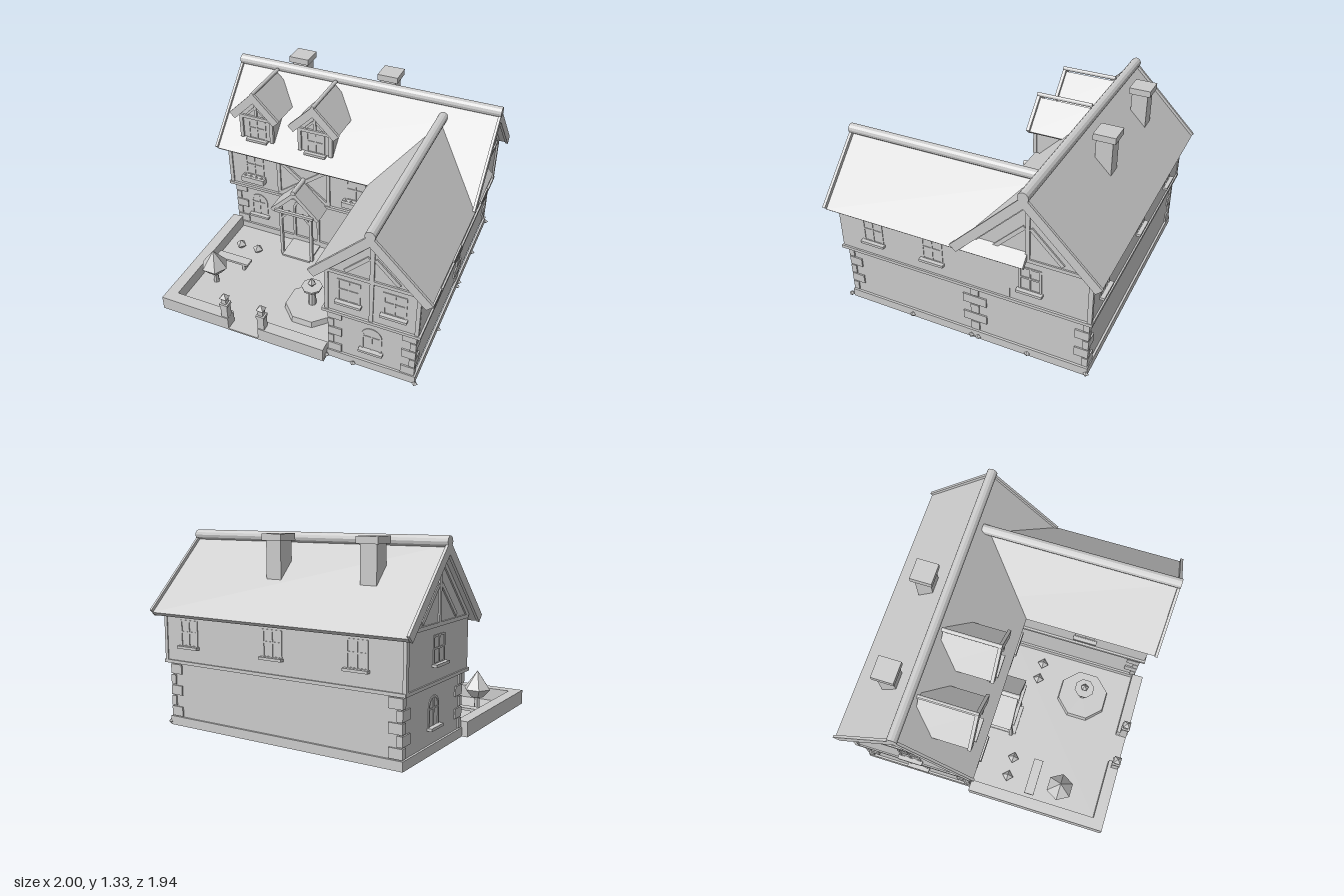
import * as THREE from 'three';

const stone = new THREE.MeshStandardMaterial({ color: 0xcccccc, flatShading: true });
stone.name = 'pale grey';

function add(parent, name, geo, x = 0, y = 0, z = 0) {
  const m = new THREE.Mesh(geo, stone);
  m.name = name;
  m.position.set(x, y, z);
  parent.add(m);
  return m;
}
function group(parent, name, x = 0, y = 0, z = 0, ry = 0) {
  const g = new THREE.Group();
  g.name = name;
  g.position.set(x, y, z);
  g.rotation.y = ry;
  parent.add(g);
  return g;
}
const box = (p, name, w, h, d, x, y, z) => add(p, name, new THREE.BoxGeometry(w, h, d), x, y, z);
// box given by its limits
const block = (p, name, x0, x1, y0, y1, z0, z1) =>
  box(p, name, x1 - x0, y1 - y0, z1 - z0, (x0 + x1) / 2, (y0 + y1) / 2, (z0 + z1) / 2);
const prism = (p, name, pts, z0, z1) => add(p, name, new THREE.ExtrudeGeometry(
  new THREE.Shape(pts.map(q => new THREE.Vector2(...q))), { depth: z1 - z0, bevelEnabled: false }), 0, 0, z0);
const cyl = (p, name, r0, r1, h, n, x, y, z) => add(p, name, new THREE.CylinderGeometry(r0, r1, h, n), x, y, z);

// hollow foot around a ground floor
function plinth(p, name, x0, x1, z0, z1, h = 0.062, t = 0.016) {
  for (const x of [x0, x1 - t]) block(p, name, x, x + t, 0, h, z0, z1);
  for (const z of [z0, z1 - t]) block(p, name, x0 + t, x1 - t, 0, h, z, z + t);
}
// timber between two points on a wall facing +z
function beam(p, name, x1, y1, x2, y2, w, z, d = 0.014) {
  const m = box(p, name, Math.hypot(x2 - x1, y2 - y1), w, d, (x1 + x2) / 2, (y1 + y2) / 2, z);
  m.rotation.z = Math.atan2(y2 - y1, x2 - x1);
}
// 45 degree roof shell with square-cut eaves
function chevron(p, name, h, top, t, z0, z1) {
  const k = t / Math.SQRT2;
  prism(p, name, [[-h, top - h], [-h + k, top - h - k], [0, top - 2 * k], [h - k, top - h - k], [h, top - h], [0, top]], z0, z1);
}
const house5 = (p, name, h, y0, eave, z0, z1) =>
  prism(p, name, [[-h, y0], [h, y0], [h, eave], [0, eave + h], [-h, eave]], z0, z1);
function ridge(p, r, y, z0, z1) {
  cyl(p, 'ridgePole', r, r, z1 - z0, 12, 0, y, (z0 + z1) / 2).rotation.x = Math.PI / 2;
}
// timbered triangle under a roof
function gableTimbers(p, h, eave, z) {
  beam(p, 'tieBeam', -h, eave, h, eave, 0.025, z);
  beam(p, 'kingPost', 0, eave, 0, eave + h - 0.02, 0.028, z);
  for (const s of [-1, 1]) {
    beam(p, 'gableBrace', s * h * 0.56, eave + 0.03, s * 0.02, eave + 0.01 + h * 0.56, 0.026, z);
    beam(p, 'gableRafter', s * h, eave, 0, eave + h, 0.03, z);
  }
}
// shallow square window, base at local y = 0, facing +z
function squareWindow(p, x, y, z, ry, w = 0.14, h = 0.17) {
  const g = group(p, 'window', x, y, z, ry);
  for (const s of [-1, 0, 1]) box(g, 'windowUpright', s ? 0.014 : 0.01, h, 0.012, s * w / 2, h / 2, -0.001);
  for (const t of [0, 0.55, 1]) box(g, 'windowBar', w + 0.014, 0.012, 0.012, 0, t * h, -0.001);
  box(g, 'windowSill', w + 0.035, 0.018, 0.045, 0, -0.007, 0.01);
}
function archShape(w, h, Type) {
  const a = new Type();
  a.moveTo(-w / 2, 0);
  a.lineTo(w / 2, 0);
  a.lineTo(w / 2, h - w / 2);
  a.absarc(0, h - w / 2, w / 2, 0, Math.PI, false);
  a.closePath();
  return a;
}
function archFrame(p, name, w, h, t, d) {
  const s = archShape(w, h, THREE.Shape);
  s.holes.push(archShape(w - 2 * t, h - t, THREE.Path));
  add(p, name, new THREE.ExtrudeGeometry(s, { depth: d, bevelEnabled: false, curveSegments: 8 }));
}
function archWindow(p, x, y, z, ry) {
  const g = group(p, 'archedWindow', x, y, z, ry);
  archFrame(g, 'archFrame', 0.14, 0.2, 0.014, 0.005);
  box(g, 'mullion', 0.01, 0.19, 0.01, 0, 0.095, -0.001);
  box(g, 'glazingBar', 0.13, 0.01, 0.01, 0, 0.12, -0.001);
  box(g, 'windowSill', 0.165, 0.018, 0.045, 0, 0, 0.01);
}
// alternating corner stones; sx, sz point outwards
function quoins(p, cx, cz, sx, sz) {
  for (let i = 0; i < 5; i++) {
    const lx = i % 2 ? 0.04 : 0.095, lz = i % 2 ? 0.095 : 0.04, o = 0.01;
    box(p, 'cornerStone', lx, 0.066, lz, cx + sx * (o - lx / 2), 0.1 + i * 0.074, cz + sz * (o - lz / 2));
  }
}

function mainHouse(root) {
  block(root, 'mainGroundFloor', -0.905, 0.885, 0.055, 0.45, -0.87, -0.085);
  plinth(root, 'mainPlinth', -0.92, 0.905, -0.885, -0.07);
  block(root, 'mainBelt', -0.945, 0.925, 0.442, 0.464, -0.905, -0.035);
  // local x runs to -z, local z runs to +x
  const g = group(root, 'mainHouse', 0, 0, -0.474, Math.PI / 2);
  house5(g, 'mainUpperFloor', 0.42, 0.45, 0.8, -0.935, 0.91);
  chevron(g, 'mainRoof', 0.488, 1.277, 0.03, -0.985, 0.97);
  chevron(g, 'bargeBoard', 0.499, 1.305, 0.06, -1, -0.982);
  chevron(g, 'bargeBoard', 0.499, 1.305, 0.06, 0.965, 0.983);
  ridge(g, 0.036, 1.297, -1, 0.985);
  gableTimbers(g, 0.41, 0.805, 0.913);
  gableTimbers(g, 0.41, 0.805, -0.938);
  for (const cx of [-0.905, 0.885]) for (const cz of [-0.87, -0.085]) quoins(root, cx, cz, Math.sign(cx), cz < -0.5 ? -1 : 1);
  // second half of the stones where wing and main house meet
  quoins(root, 0.885, -0.085, 1, -1);
  for (const cx of [-0.935, 0.91]) block(root, 'cornerPost', cx - 0.012, cx + 0.012, 0.45, 0.8, -0.9, -0.87);

  // front timbers
  for (const x of [-0.92, -0.515, -0.115, 0.265]) beam(root, 'frontPost', x, 0.46, x, 0.79, 0.028, -0.05);
  beam(root, 'frontRail', -0.93, 0.78, 0.28, 0.78, 0.024, -0.05);
  beam(root, 'crossBrace', -0.51, 0.77, -0.12, 0.47, 0.028, -0.048);
  beam(root, 'crossBrace', -0.12, 0.77, -0.51, 0.47, 0.028, -0.048);

  // windows
  for (const x of [-0.72, 0.1]) {
    squareWindow(root, x, 0.57, -0.054, 0);
    archWindow(root, x, 0.165, -0.085, 0);
    box(root, 'flowerBox', 0.185, 0.045, 0.05, x, 0.548, -0.024);
    for (let i = -1.5; i < 2; i++) add(root, 'flower', new THREE.OctahedronGeometry(0.012), x + i * 0.045, 0.573, -0.024);
  }
  for (const x of [0.7, 0, -0.62]) squareWindow(root, x, 0.57, -0.894, Math.PI);
  squareWindow(root, -0.935, 0.57, -0.47, -Math.PI / 2);
  archWindow(root, -0.905, 0.165, -0.47, -Math.PI / 2);

  // chimneys
  for (const x of [-0.585, 0.12]) {
    box(root, 'chimney', 0.115, 0.35, 0.115, x, 1.125, -0.657);
    box(root, 'chimneyCap', 0.153, 0.045, 0.153, x, 1.305, -0.66);
  }
}

function dormer(root, x) {
  const g = group(root, 'dormer', x);
  house5(g, 'dormerBody', 0.125, 0.9, 1.1, -0.42, -0.065);
  chevron(g, 'dormerRoof', 0.18, 1.27, 0.025, -0.42, -0.04);
  chevron(g, 'dormerBarge', 0.195, 1.3, 0.058, -0.045, -0.022);
  ridge(g, 0.014, 1.292, -0.425, -0.02);
  for (const s of [-1, 1]) {
    block(g, 'dormerPost', s * 0.12 - 0.013, s * 0.12 + 0.013, 0.9, 1.09, -0.075, -0.05);
    beam(g, 'dormerBrace', s * 0.07, 1.1, s * 0.01, 1.16, 0.016, -0.062);
  }
  beam(g, 'dormerTie', -0.13, 1.08, 0.13, 1.08, 0.025, -0.06, 0.02);
  beam(g, 'dormerKingPost', 0, 1.09, 0, 1.24, 0.02, -0.06);
  squareWindow(g, 0, 0.9, -0.065, 0, 0.13, 0.16);
}

function wing(root) {
  block(root, 'wingGroundFloor', 0.305, 0.885, 0.055, 0.45, -0.1, 0.88);
  plinth(root, 'wingPlinth', 0.29, 0.905, -0.086, 0.895);
  block(root, 'wingBelt', 0.265, 0.925, 0.442, 0.464, -0.1, 0.92);
  const g = group(root, 'wing', 0.597);
  house5(g, 'wingUpperFloor', 0.315, 0.45, 0.81, -0.35, 0.905);
  chevron(g, 'wingRoof', 0.386, 1.174, 0.03, -0.47, 0.955);
  chevron(g, 'wingBarge', 0.4, 1.207, 0.06, 0.95, 0.97);
  ridge(g, 0.034, 1.2, -0.42, 0.97);
  gableTimbers(g, 0.31, 0.8, 0.909);
  for (const x of [-0.3, 0, 0.3]) beam(g, 'wingPost', x, 0.46, x, 0.8, 0.026, 0.906);
  for (const x of [-0.15, 0.15]) squareWindow(g, x, 0.57, 0.905, 0);
  archWindow(g, 0, 0.165, 0.88, 0);
  quoins(root, 0.305, 0.88, -1, 1);
  quoins(root, 0.885, 0.88, 1, 1);
  for (const z of [0.65, 0.2, -0.49]) squareWindow(root, 0.911, 0.57, z, Math.PI / 2);
  squareWindow(root, 0.282, 0.57, 0.45, -Math.PI / 2);
}

function porch(root) {
  const g = group(root, 'porch', -0.315);
  chevron(g, 'porchRoof', 0.197, 0.637, 0.03, -0.06, 0.12);
  ridge(g, 0.018, 0.64, -0.06, 0.13);
  beam(g, 'porchTie', -0.155, 0.445, 0.155, 0.445, 0.022, 0.125, 0.022);
  for (const s of [-1, 1]) {
    block(g, 'porchPost', s * 0.122 - 0.011, s * 0.122 + 0.011, 0, 0.46, 0.085, 0.11);
    beam(g, 'porchBrace', s * 0.12, 0.36, s * 0.05, 0.44, 0.018, 0.098);
  }
  block(g, 'doorStep', -0.115, 0.115, 0, 0.025, -0.08, 0.13);
  const d = group(g, 'door', 0, 0.02, -0.085);
  archFrame(d, 'doorFrame', 0.22, 0.41, 0.02, 0.015);
}

function courtyard(root) {
  block(root, 'courtyardFloor', -0.96, 0.29, 0, 0.012, -0.07, 0.957);
  block(root, 'leftWall', -0.96, -0.88, 0, 0.105, -0.07, 0.957);
  block(root, 'frontWall', -0.88, -0.43, 0, 0.105, 0.875, 0.957);
  block(root, 'frontWall', -0.2, 0.285, 0, 0.105, 0.875, 0.957);
  // gate posts with lanterns
  for (const x of [-0.456, -0.176]) {
    const g = group(root, 'gatePost', x, 0, 0.925);
    box(g, 'post', 0.05, 0.21, 0.05, 0, 0.105, 0);
    box(g, 'postCap', 0.06, 0.02, 0.06, 0, 0.215, 0);
    box(g, 'lantern', 0.036, 0.055, 0.036, 0, 0.25, 0);
    cyl(g, 'lanternCap', 0, 0.038, 0.035, 4, 0, 0.292, 0).rotation.y = Math.PI / 4;
  }
  // octagonal fountain
  const f = group(root, 'fountain', 0.02, 0, 0.545, Math.PI / 8);
  cyl(f, 'basin', 0.19, 0.198, 0.06, 8, 0, 0.03, 0);
  cyl(f, 'pedestal', 0.025, 0.03, 0.16, 8, 0, 0.12, 0);
  cyl(f, 'upperBowl', 0.075, 0.07, 0.02, 8, 0, 0.215, 0);
  cyl(f, 'finial', 0, 0.03, 0.045, 5, 0, 0.275, 0);
  cyl(f, 'finialBase', 0.03, 0.008, 0.03, 5, 0, 0.238, 0);
  // tree
  const t = group(root, 'tree', -0.75, 0, 0.575, Math.PI / 6);
  cyl(t, 'trunk', 0.018, 0.022, 0.13, 6, 0, 0.065, 0);
  cyl(t, 'lowerCrown', 0.1, 0.05, 0.06, 6, 0, 0.14, 0);
  cyl(t, 'upperCrown', 0, 0.1, 0.135, 6, 0, 0.2375, 0);
  // bench
  box(root, 'benchSeat', 0.27, 0.018, 0.07, -0.716, 0.07, 0.367);
  for (const x of [-0.81, -0.62]) box(root, 'benchLeg', 0.02, 0.065, 0.06, x, 0.032, 0.367);
  for (const x of [-0.76, -0.615, 0.05, 0.18]) add(root, 'shrub', new THREE.OctahedronGeometry(0.043), x, 0.047, 0.175);
}

export function createModel() {
  const root = new THREE.Group();
  root.name = 'timberHouse';
  mainHouse(root);
  for (const x of [-0.681, -0.216]) dormer(root, x);
  wing(root);
  porch(root);
  courtyard(root);
  // small tufts along the foot of the walls
  const tufts = [[0.29, 0.91], [0.48, 0.91], [0.91, 0.91], [0.91, 0.4], [0.91, -0.06], [0.91, -0.11], [0.91, -0.47], [0.91, -0.88]];
  for (const [x, z] of tufts) add(root, 'tuft', new THREE.OctahedronGeometry(0.021), x, 0.021, z);
  return root;
}
